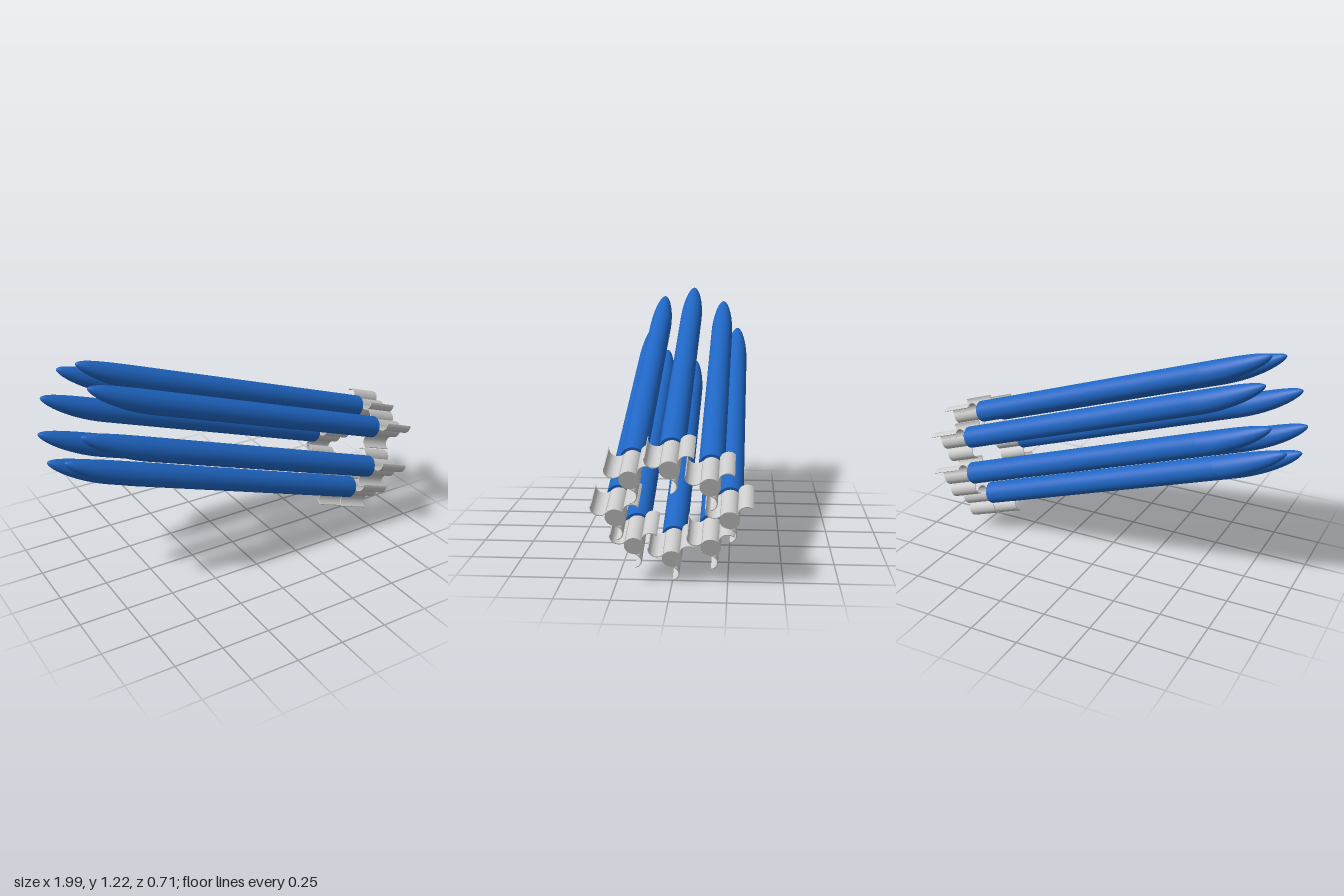
import * as THREE from 'three';

const BODY_R = 0.058, TAIL_R = 0.045, TAIL_L = 0.17, LENGTH = 1.898, NOSE_L = 0.36;

// Tail centres of the cluster in the y/z plane: [y, z]
const TAILS = [
  [0.112, 0], [0.178, 0.167], [0.178, -0.175], [0.326, 0.242],
  [0.323, -0.258], [0.516, 0.17], [0.487, -0.175], [0.568, -0.004],
];

// Long tube with an ogive nose whose tip is lifted towards local +z
function bodyGeometry() {
  const points = [
    new THREE.Vector2(0, TAIL_L),
    new THREE.Vector2(BODY_R, TAIL_L),
    new THREE.Vector2(BODY_R, TAIL_L + 0.001),
  ];
  const steps = 18;
  for (let i = 0; i <= steps; i++) {
    const u = (1 - i / steps) ** 2; // closer rings towards the tip
    const r = BODY_R * Math.pow(1 - (1 - u) ** 2, 0.55);
    points.push(new THREE.Vector2(r, LENGTH - NOSE_L * u));
  }
  const geometry = new THREE.LatheGeometry(points, 32, Math.PI);
  const p = geometry.attributes.position;
  for (let i = 0; i < p.count; i++) {
    const k = Math.max(0, (p.getY(i) - (LENGTH - NOSE_L)) / NOSE_L);
    p.setZ(i, p.getZ(i) + 0.03 * k * k);
  }
  geometry.computeVertexNormals();
  return geometry;
}

// Curved wrap-around fin hanging below the tail, running along local y
function finGeometry() {
  const cx = -0.0084, cy = -0.0825, r = 0.0384, half = 1.35, t = 0.002;
  const shape = new THREE.Shape();
  shape.absarc(cx, cy, r + t, -half, half, false);
  shape.absarc(cx, cy, r - t, half, -half, true);
  shape.closePath();
  const geometry = new THREE.ExtrudeGeometry(shape, {
    depth: TAIL_L, bevelEnabled: false, curveSegments: 14,
  });
  geometry.rotateX(Math.PI / 2);
  geometry.translate(0, TAIL_L, 0);
  return geometry;
}

export function createModel() {
  const blue = new THREE.MeshStandardMaterial({ color: 0x1f66c4 });
  const grey = new THREE.MeshStandardMaterial({ color: 0xcccccc });
  const bodyGeo = bodyGeometry();
  const finGeo = finGeometry();
  const tailGeo = new THREE.CylinderGeometry(TAIL_R, TAIL_R, TAIL_L, 32);
  tailGeo.translate(0, TAIL_L / 2, 0);

  const add = (parent, name, geometry, material) => {
    const mesh = new THREE.Mesh(geometry, material);
    mesh.name = name;
    parent.add(mesh);
    return mesh;
  };

  // Shared direction: nose along local y, tip lift along local z
  const pitch = THREE.MathUtils.degToRad(18.9);
  const along = new THREE.Vector3(-Math.cos(pitch), Math.sin(pitch), -0.006).normalize();
  const side = new THREE.Vector3().crossVectors(
    along, new THREE.Vector3(Math.sin(pitch), Math.cos(pitch), 0)).normalize();
  const up = new THREE.Vector3().crossVectors(side, along);
  const basis = new THREE.Matrix4().makeBasis(side, along, up);

  const model = new THREE.Group();
  model.name = 'rocketCluster';
  TAILS.forEach(([y, z], i) => {
    const rocket = new THREE.Group();
    rocket.name = `rocket${i + 1}`;
    add(rocket, 'body', bodyGeo, blue);
    add(rocket, 'tailTube', tailGeo, grey);
    // Three fins evenly spaced around the tail
    for (let k = 0; k < 3; k++) {
      add(rocket, `fin${k + 1}`, finGeo, grey).rotation.y = (k * 2 * Math.PI) / 3;
    }
    rocket.quaternion.setFromRotationMatrix(basis);
    rocket.position.set(0.79 + (y - 0.112) * 0.39, y, z);
    model.add(rocket);
  });
  return model;
}
